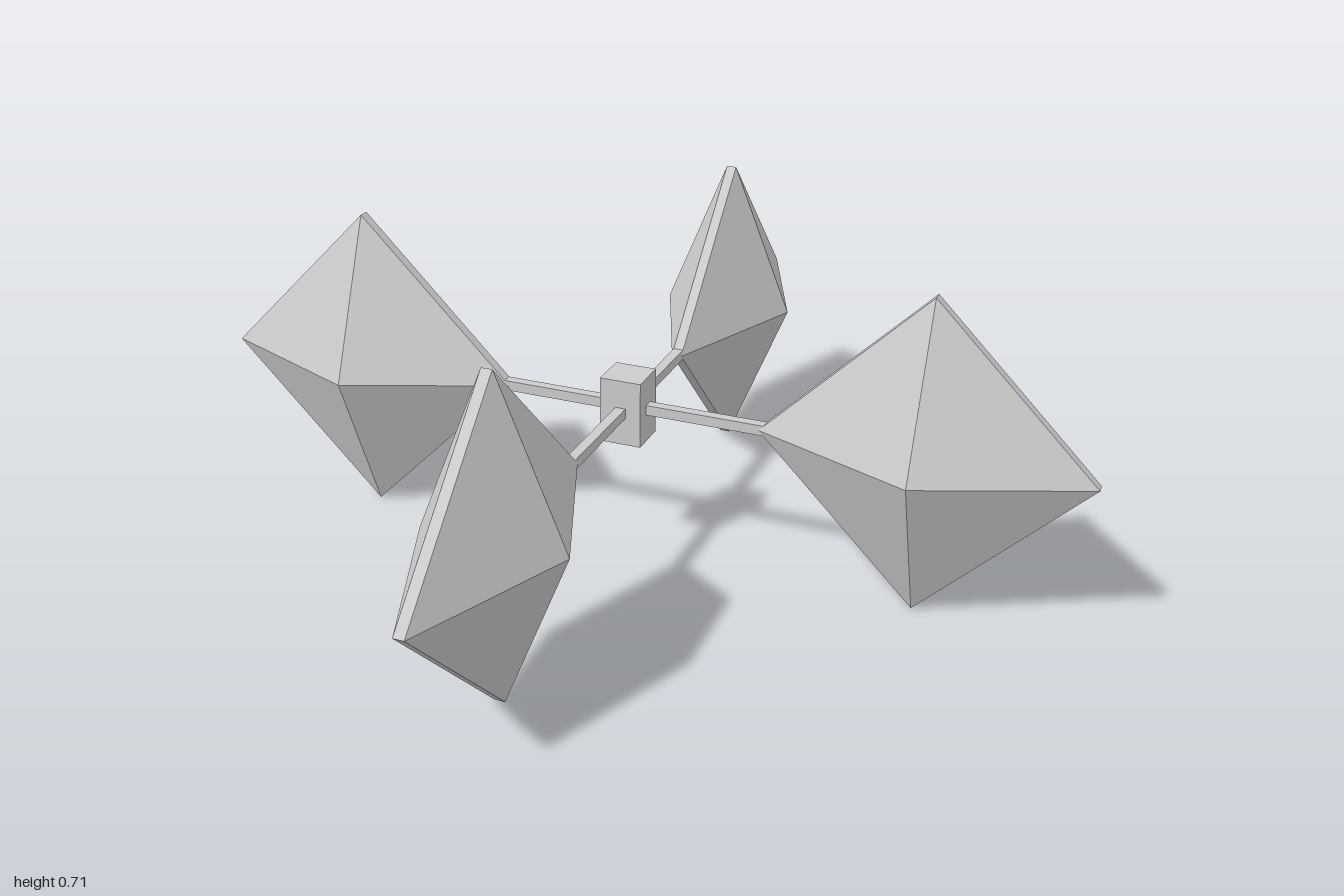
import * as THREE from 'three';

const material = new THREE.MeshStandardMaterial({ color: 0xcccccc, flatShading: true });
const MID = 0.354;      // height of the arms, also half diagonal of a pod
const THICK = 0.023;    // plate and rod thickness
const DEPTH = 0.144;    // height of each pod pyramid
const REACH = 0.646;    // pod centre distance from the hub

function part(name, geometry, parent, x = 0, y = 0, z = 0) {
  const mesh = new THREE.Mesh(geometry, material);
  mesh.name = name;
  mesh.position.set(x, y, z);
  parent.add(mesh);
  return mesh;
}

// One arm pointing along +x: rod, diamond plate, and a pyramid on each side
function createArm() {
  const arm = new THREE.Group();
  part('rod', new THREE.BoxGeometry(0.3, THICK, THICK), arm, 0.16);

  const side = MID * Math.SQRT2;
  const plate = part('podPlate', new THREE.BoxGeometry(side, side, THICK), arm, REACH);
  plate.rotation.z = Math.PI / 4;

  for (const s of [1, -1]) {
    const pyramid = part('podPyramid', new THREE.ConeGeometry(MID, DEPTH, 4), arm,
      REACH, 0, s * (THICK + DEPTH) / 2);
    pyramid.rotation.x = s * Math.PI / 2;
  }
  return arm;
}

export function createModel() {
  const model = new THREE.Group();
  model.name = 'fourPodRotor';

  // Central hub block
  part('hub', new THREE.BoxGeometry(0.094, 0.15, 0.09), model, -0.01, MID, -0.003);

  // Four arms around the hub
  ['leftArm', 'backArm', 'rightArm', 'frontArm'].forEach((name, i) => {
    const arm = createArm();
    arm.name = name;
    arm.rotation.y = i * Math.PI / 2;
    arm.position.set(i % 2 ? -0.009 : 0, MID, i % 2 ? 0 : -0.003);
    model.add(arm);
  });
  return model;
}
